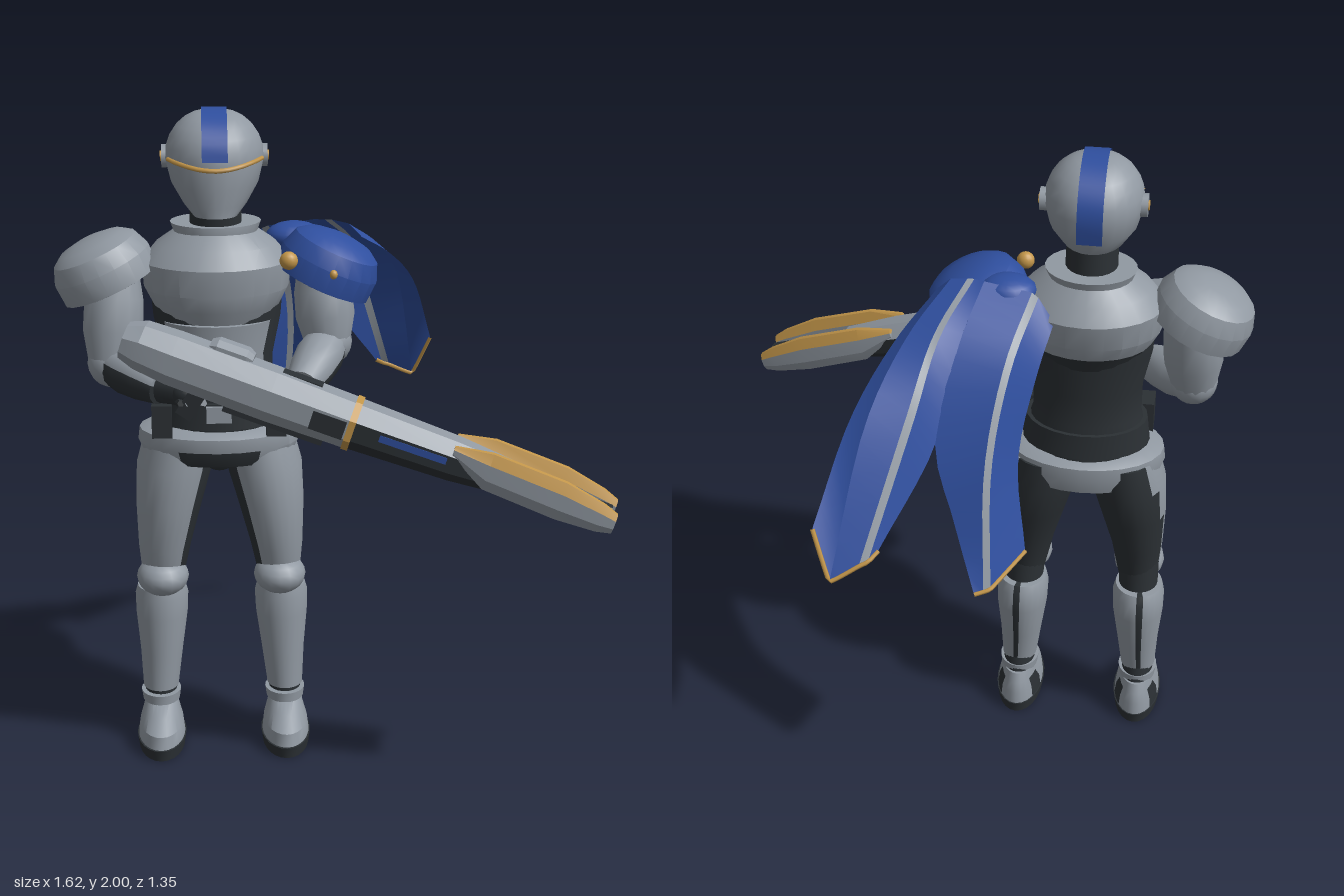
import * as THREE from 'three';
import { toCreasedNormals } from 'three/addons/utils/BufferGeometryUtils.js';

const mat = (name, color, side = THREE.FrontSide) => {
  const m = new THREE.MeshStandardMaterial({ color, side });
  m.name = name;
  return m;
};
const V = (p) => new THREE.Vector3(...p);

export function createModel() {
  const root = new THREE.Group();
  root.name = 'armouredSoldier';
  const grey = mat('armourGrey', 0x9199a2), dark = mat('undersuitDark', 0x2b3034);
  const blue = mat('clothBlue', 0x2f4f9f), gold = mat('trimGold', 0xc3964a);
  const capeBlue = mat('capeBlue', 0x2f4f9f, THREE.DoubleSide), capeGrey = mat('capeStripeGrey', 0x9199a2, THREE.DoubleSide);
  const MID = -0.33; // the figure's own centre line

  const add = (name, geo, m, parent = root) => {
    const mesh = new THREE.Mesh(geo, m);
    mesh.name = name;
    parent.add(mesh);
    return mesh;
  };

  // Skin over rings [y, cx, cz, rx, rz], lowest first; pick(ring, angle) gives the material index
  const loft = (rings, { n = 24, pick = () => 0, crease = 0.6 } = {}) => {
    const oct = n === 8, off = oct ? Math.PI / 8 : 0, k = oct ? 1 / Math.cos(off) : 1;
    const pos = [], faces = [[], []];
    for (const [y, cx, cz, rx, rz] of rings)
      for (let j = 0; j < n; j++) {
        const a = off + (j / n) * Math.PI * 2;
        pos.push(cx + rx * k * Math.cos(a), y, cz + rz * k * Math.sin(a));
      }
    const last = rings.length - 1, base = pos.length / 3;
    for (const r of [rings[0], rings[last]]) pos.push(r[1], r[0], r[2]);
    for (let j = 0; j < n; j++) {
      const j2 = (j + 1) % n, ang = off + ((j + 0.5) / n) * Math.PI * 2;
      for (let i = 0; i < last; i++) {
        const a = i * n + j, b = i * n + j2, c = b + n, d = a + n;
        faces[pick(i, ang)].push(a, d, b, b, d, c);
      }
      faces[pick(0, ang)].push(base, j, j2);
      faces[pick(last - 1, ang)].push(base + 1, last * n + j2, last * n + j);
    }
    const g = new THREE.BufferGeometry();
    g.setAttribute('position', new THREE.Float32BufferAttribute(pos, 3));
    g.setIndex([...faces[0], ...faces[1]]);
    g.addGroup(0, faces[0].length, 0);
    g.addGroup(faces[0].length, faces[1].length, 1);
    return toCreasedNormals(g, crease);
  };

  // Rounded limb from p to q with evenly spaced radii
  const limb = (name, m, p, q, radii, opts = { n: 14 }) => {
    const d = V(q).sub(V(p)), len = d.length();
    const mesh = add(name, loft(radii.map((r, i) => [(len * i) / (radii.length - 1), 0, 0, r, r]), opts), m);
    mesh.position.copy(V(p));
    mesh.quaternion.setFromUnitVectors(new THREE.Vector3(0, 1, 0), d.normalize());
  };
  const ball = (name, m, p, s) => {
    const mesh = add(name, new THREE.SphereGeometry(1, 16, 10), m);
    mesh.position.set(...p);
    mesh.scale.set(...s);
  };
  const box = (name, m, p, s, parent = root) => {
    const mesh = add(name, new THREE.BoxGeometry(...s), m, parent);
    mesh.position.set(...p);
    return mesh;
  };
  // Cloth strip between two smooth edges
  const strip = (name, m, e1, e2, steps = 14) => {
    const cs = [e1, e2].map((e) => new THREE.CatmullRomCurve3(e.map(V)).getPoints(steps));
    const pos = [], idx = [];
    for (let i = 0; i <= steps; i++) {
      pos.push(...cs[0][i].toArray(), ...cs[1][i].toArray());
      if (i < steps) idx.push(2 * i, 2 * i + 2, 2 * i + 1, 2 * i + 1, 2 * i + 2, 2 * i + 3);
    }
    const g = new THREE.BufferGeometry();
    g.setAttribute('position', new THREE.Float32BufferAttribute(pos, 3));
    g.setIndex(idx);
    g.computeVertexNormals();
    add(name, g, m);
  };
  const tube = (name, m, pts, r) =>
    add(name, new THREE.TubeGeometry(new THREE.CatmullRomCurve3(pts.map(V), false, 'catmullrom', 0.1), 20, r, 6), m);
  const centred = (rings) => rings.map(([y, cz, rx, rz]) => [y, MID, cz, rx, rz]);

  // Legs
  const thighBack = [-0.3, -0.35, -0.55, -0.7];
  for (const s of [-1, 1]) {
    const side = s < 0 ? 'right' : 'left';
    const at = (rings) => rings.map(([y, d, cz, rx, rz]) => [y, MID + s * d, cz, rx, rz]);
    add(side + 'Thigh', loft(at([[0.54, 0.18, 0.06, 0.062, 0.07], [0.66, 0.172, 0.07, 0.08, 0.1], [0.8, 0.155, 0.055, 0.102, 0.13],
      [0.92, 0.135, 0.045, 0.117, 0.145], [1.02, 0.115, 0.04, 0.11, 0.135]]),
      { pick: (i, a) => (Math.sin(a) < thighBack[i] || s * Math.cos(a) < -0.62 ? 1 : 0) }), [grey, dark]);
    ball(side + 'KneePad', grey, [MID + s * 0.18, 0.565, 0.1], [0.08, 0.06, 0.09]);
    add(side + 'KneeJoint', loft(at([[0.47, 0.185, 0.04, 0.06, 0.065], [0.6, 0.18, 0.055, 0.065, 0.07]])), dark);
    add(side + 'Shin', loft(at([[0.18, 0.195, 0.055, 0.055, 0.065], [0.3, 0.19, 0.045, 0.066, 0.08], [0.42, 0.187, 0.035, 0.08, 0.095],
      [0.485, 0.186, 0.035, 0.082, 0.095], [0.515, 0.186, 0.04, 0.074, 0.085]]),
      { pick: (i, a) => (Math.sin(a) < -0.98 && s * Math.cos(a) > 0 ? 1 : 0) }), [grey, dark]);
    add(side + 'Ankle', loft(at([[0.08, 0.195, 0.04, 0.05, 0.07], [0.21, 0.195, 0.05, 0.05, 0.06]])), dark);
    add(side + 'AnkleCuff', loft(at([[0.135, 0.195, 0.055, 0.058, 0.073], [0.165, 0.195, 0.055, 0.062, 0.075]])), grey);
    add(side + 'Sole', loft(at([[0, 0.195, 0.095, 0.072, 0.15], [0.035, 0.195, 0.095, 0.077, 0.156]])), dark);
    add(side + 'Boot', loft(at([[0.035, 0.195, 0.093, 0.073, 0.15], [0.075, 0.195, 0.09, 0.068, 0.145], [0.11, 0.195, 0.065, 0.056, 0.11],
      [0.14, 0.195, 0.045, 0.05, 0.075]]), { pick: (i, a) => (i < 2 && Math.sin(a) < -0.25 && Math.sin(a) > -0.7 ? 1 : 0) }), [grey, dark]);
    box(side + 'Pouch', dark, [MID + s * 0.17, 1.09, 0.155], [0.06, 0.1, 0.08]);
  }

  // Torso
  add('undersuit', loft(centred([[0.91, 0.04, 0.04, 0.08], [0.98, 0.04, 0.1, 0.135], [1.08, 0.045, 0.19, 0.135], [1.16, 0.05, 0.165, 0.125],
    [1.26, 0.05, 0.165, 0.125], [1.38, 0.045, 0.19, 0.135], [1.5, 0.04, 0.2, 0.14]])), dark);
  add('hipPlate', loft(centred([[0.945, 0.045, 0.225, 0.15], [0.995, 0.05, 0.245, 0.168], [1.035, 0.05, 0.24, 0.165], [1.05, 0.05, 0.2, 0.14]]),
    { pick: (i, a) => (i === 0 && Math.sin(a) > 0.92 ? 1 : 0) }), [grey, dark]);
  add('belt', loft(centred([[1.06, 0.05, 0.195, 0.145], [1.14, 0.05, 0.185, 0.14]])), dark);
  box('buckle', grey, [MID, 1.11, 0.19], [0.075, 0.05, 0.02]);
  add('abdomenPlate', loft(centred([[1.18, 0.06, 0.15, 0.125], [1.28, 0.06, 0.155, 0.13], [1.38, 0.06, 0.175, 0.14]]),
    { pick: (i, a) => (Math.sin(a) > 0.3 ? 0 : 1) }), [grey, dark]);
  add('breastplate', loft(centred([[1.36, 0.045, 0.15, 0.13], [1.42, 0.045, 0.19, 0.155], [1.47, 0.04, 0.216, 0.175], [1.55, 0.035, 0.222, 0.18],
    [1.6, 0.035, 0.18, 0.15], [1.64, 0.03, 0.12, 0.11]]),
    { pick: (i, a) => (i === 0 && Math.sin(a) < 0.1 ? 1 : 0), crease: 0.4 }), [grey, dark]);
  add('collar', loft(centred([[1.6, 0.03, 0.115, 0.1], [1.635, 0.03, 0.125, 0.11], [1.662, 0.025, 0.135, 0.112]])), grey);
  add('neck', loft(centred([[1.6, 0.035, 0.078, 0.078], [1.78, 0.05, 0.075, 0.08]])), dark);

  // Helmet: jaw rings, then a dome
  const dome = [0, 0.25, 0.5, 0.75, 1, 1.2, 1.38, 1.5].map((t) => [1.86 + 0.14 * Math.sin(t), 0.063, 0.145 * Math.cos(t) ** 0.85, 0.155 * Math.cos(t)]);
  add('helmet', loft(centred([[1.705, 0.145, 0.064, 0.065], [1.735, 0.085, 0.095, 0.128], [1.79, 0.068, 0.128, 0.15], ...dome])), grey);
  const ridge = [0.08, 0.4, 0.8, 1.2, 1.57, 1.95, 2.35, 2.75, 3.14].map((t) => [1.86 + 0.143 * Math.sin(t), 0.063 + 0.159 * Math.cos(t)]);
  ridge.push([1.79, -0.088]);
  strip('helmetStripe', capeBlue, ridge.map(([y, z]) => [MID - 0.037, y, z]), ridge.map(([y, z]) => [MID + 0.037, y, z]), 24);
  const brow = [];
  for (let a = 0.35; a <= 2.8; a += 0.2) brow.push([MID + 0.146 * Math.cos(a), 1.865 - 0.018 * Math.sin(a) ** 4, 0.063 + 0.157 * Math.sin(a)]);
  tube('visorTrim', gold, brow, 0.007);
  for (const s of [-1, 1]) {
    const ear = add('earPiece', new THREE.CylinderGeometry(0.034, 0.034, 0.03, 12).rotateZ(Math.PI / 2), grey);
    ear.position.set(MID + s * 0.14, 1.86, 0.045);
    const cap = add('earCap', new THREE.CylinderGeometry(0.015, 0.015, 0.008, 12).rotateZ(Math.PI / 2), gold);
    cap.position.set(MID + s * 0.155, 1.86, 0.045);
  }

  // Shoulder guards: shallow dome over a skirt, tilted outwards
  const guard = [[0, -0.085], [0.138, -0.088], [0.15, -0.085], [0.153, -0.02], [0.132, 0.03], [0.1, 0.053], [0.05, 0.065], [0, 0.068]].map((p) => new THREE.Vector2(...p));
  for (const s of [-1, 1]) {
    const g = add(s < 0 ? 'rightShoulderGuard' : 'leftShoulderGuard', toCreasedNormals(new THREE.LatheGeometry(guard, 20), 0.5), s < 0 ? grey : blue);
    g.position.set(MID + s * 0.347, 1.557, 0.05);
    g.rotation.z = -s * 0.42;
  }

  // Arms: shoulder, elbow, wrist, hand
  const arms = {
    right: [[-0.63, 1.53, 0.045], [-0.645, 1.25, 0.1], [-0.495, 1.215, 0.25], [-0.42, 1.215, 0.3]],
    left: [[-0.02, 1.53, 0.045], [0.0, 1.3, 0.08], [-0.085, 1.22, 0.27], [-0.13, 1.185, 0.35]],
  };
  for (const [side, [sh, el, wr, ha]] of Object.entries(arms)) {
    limb(side + 'UpperArm', grey, sh, el, [0.07, 0.088, 0.09, 0.07]);
    ball(side + 'Elbow', grey, el, [0.073, 0.073, 0.073]);
    limb(side + 'Forearm', [grey, dark], el, wr, [0.062, 0.072, 0.066, 0.052], { n: 14, pick: (i, a) => (Math.sin(a) > 0.3 ? 1 : 0) });
    limb(side + 'Wrist', dark, wr, ha, [0.045, 0.042, 0.045]);
    ball(side + 'Hand', dark, ha, [0.05, 0.04, 0.05]);
    ball(side + 'HandPlate', grey, [ha[0], ha[1] - 0.008, ha[2] - 0.02], [0.045, 0.042, 0.04]);
    for (let i = 0; i < 4; i++)
      limb(side + 'Finger', i % 2 ? grey : dark, [ha[0] - 0.03 + i * 0.022, ha[1] - 0.03, ha[2] - 0.01],
        [ha[0] - 0.02 + i * 0.022, ha[1] - 0.01, ha[2] + 0.075], [0.012, 0.013, 0.01], { n: 6 });
  }

  // Rifle, built along its own x axis and then aimed
  const rifle = new THREE.Group();
  rifle.name = 'rifle';
  const X = V([1.39, -0.46, 0.265]).normalize(), Z = new THREE.Vector3(-X.z, 0, X.x).normalize();
  rifle.quaternion.setFromRotationMatrix(new THREE.Matrix4().makeBasis(X, new THREE.Vector3().crossVectors(Z, X), Z));
  rifle.position.set(-0.6, 1.38, 0.335);
  root.add(rifle);
  // rings [along, up, side, half height, half width]
  const gun = (name, rings, m, pick) =>
    add(name, loft(rings.map(([s, y, z, h, w]) => [s, -y, z, h, w]), { n: 8, pick, crease: 0.3 }).rotateZ(-Math.PI / 2), m, rifle);
  const upper = (i, a) => (Math.cos(a) < -0.3 ? 0 : 1);
  gun('rifleBody', [[0, 0.008, 0, 0.05, 0.058], [0.05, 0.01, 0, 0.067, 0.074], [0.15, 0.006, 0, 0.074, 0.079], [0.45, 0.002, 0, 0.075, 0.08], [0.69, 0, 0, 0.07, 0.078]], grey);
  gun('rifleBand', [[0.685, 0, 0, 0.074, 0.083], [0.705, 0, 0, 0.074, 0.083]], gold);
  gun('rifleForend', [[0.69, 0, 0, 0.069, 0.077], [1, 0, 0, 0.06, 0.069], [1.18, 0, 0, 0.046, 0.05]], [grey, dark], upper);
  gun('barrel', [[1.1, -0.005, 0, 0.038, 0.038], [1.47, -0.008, 0, 0.03, 0.034]], dark);
  gun('muzzle', [[1.46, -0.008, 0, 0.014, 0.018], [1.476, -0.008, 0, 0.014, 0.018]], gold);
  for (const s of [-1, 1]) {
    gun('prong', [[0.99, 0.04, s * 0.055, 0.015, 0.012], [1.1, 0.02, s * 0.062, 0.055, 0.022], [1.32, 0.01, s * 0.064, 0.057, 0.022],
      [1.44, 0, s * 0.062, 0.042, 0.02], [1.485, -0.004, s * 0.06, 0.029, 0.016]], [gold, grey], upper);
    box('forendStripe', blue, [0.88, 0.008, s * 0.0695], [0.2, 0.02, 0.009], rifle).rotation.y = s * 0.026;
    box('sidePanel', dark, [0.63, -0.005, s * 0.0765], [0.1, 0.055, 0.009], rifle);
  }
  gun('sight', [[0.24, 0.075, -0.01, 0.018, 0.03], [0.26, 0.08, -0.01, 0.024, 0.04], [0.35, 0.08, -0.01, 0.024, 0.04], [0.37, 0.075, -0.01, 0.018, 0.03]], grey);
  box('topPanel', dark, [0.52, 0.073, -0.01], [0.12, 0.008, 0.042], rifle);
  box('grip', dark, [0.24, -0.1, -0.01], [0.05, 0.11, 0.035], rifle).rotation.z = -0.25;
  box('underRail', dark, [0.48, -0.075, 0], [0.3, 0.03, 0.05], rifle);

  // Cape: yoke, two striped tails with trimmed ends
  ball('capeYoke', blue, [-0.095, 1.6, -0.035], [0.085, 0.043, 0.07]);
  ball('brooch', gold, [-0.12, 1.575, 0.185], [0.027, 0.027, 0.024]);
  ball('capeStud', gold, [0.01, 1.535, 0.2], [0.012, 0.014, 0.012]);
  const tails = {
    inner: [
      [[-0.24, 1.55, -0.12], [-0.2, 1.41, -0.21], [-0.165, 1.2, -0.32], [-0.2, 0.94, -0.41]],
      [[-0.19, 1.61, -0.09], [-0.135, 1.47, -0.26], [-0.1, 1.23, -0.41], [-0.115, 0.89, -0.54]],
      [[-0.17, 1.62, -0.08], [-0.115, 1.48, -0.26], [-0.08, 1.23, -0.42], [-0.095, 0.885, -0.55]],
      [[-0.03, 1.64, -0.07], [0.02, 1.52, -0.23], [0.068, 1.27, -0.38], [0.0, 1.07, -0.475], [-0.07, 0.88, -0.56]],
    ],
    outer: [
      [[-0.03, 1.64, -0.07], [0.02, 1.52, -0.23], [0.068, 1.27, -0.38], [0.2, 1.04, -0.6]],
      [[0.0, 1.64, -0.06], [0.075, 1.54, -0.23], [0.125, 1.36, -0.4], [0.225, 1.02, -0.63]],
      [[0.02, 1.64, -0.06], [0.095, 1.54, -0.23], [0.147, 1.37, -0.41], [0.25, 1.01, -0.64]],
      [[0.07, 1.63, -0.05], [0.17, 1.53, -0.22], [0.255, 1.37, -0.43], [0.33, 0.97, -0.67]],
      [[0.11, 1.59, -0.04], [0.21, 1.5, -0.2], [0.305, 1.36, -0.4], [0.385, 1.11, -0.615]],
    ],
  };
  for (const [side, edges] of Object.entries(tails)) {
    for (let i = 0; i + 1 < edges.length; i++)
      strip(side + (i === 1 ? 'CapeStripe' : 'CapePanel'), i === 1 ? capeGrey : capeBlue, edges[i], edges[i + 1]);
    tube(side + 'CapeTrim', gold, edges.map((e) => e[e.length - 1]), 0.007);
  }
  return root;
}
